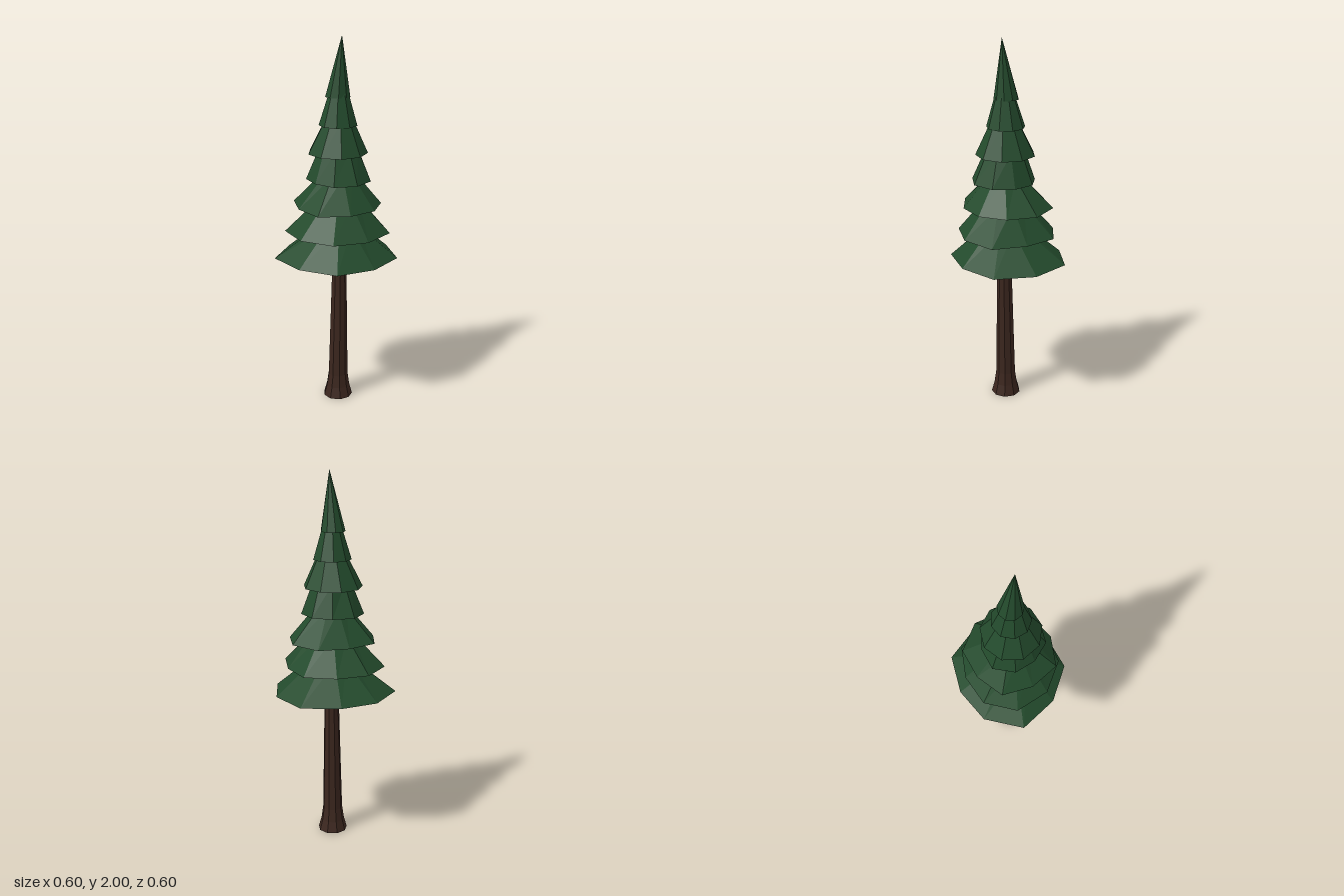
import * as THREE from 'three';

const SIDES = 9;

// Low-poly skin through rings of points, from the bottom ring upwards
function loft(rings, material, name) {
  const pos = [];
  const tri = (a, b, c) => pos.push(...a, ...b, ...c);
  for (let r = 0; r < rings.length - 1; r++) {
    const lo = rings[r], hi = rings[r + 1];
    for (let i = 0; i < lo.length; i++) {
      const j = (i + 1) % lo.length;
      tri(lo[i], hi[i], lo[j]);
      if (hi[i] !== hi[j]) tri(hi[i], hi[j], lo[j]);
    }
  }
  const geometry = new THREE.BufferGeometry();
  geometry.setAttribute('position', new THREE.Float32BufferAttribute(pos, 3));
  geometry.computeVertexNormals();
  const mesh = new THREE.Mesh(geometry, material);
  mesh.name = name;
  return mesh;
}

// Ring of points; radius is one number or one per corner, turn is in degrees
function ring(x, y, z, radius, turn = 0) {
  return Array.from({ length: SIDES }, (_, i) => {
    const a = THREE.MathUtils.degToRad(turn + (i * 360) / SIDES);
    const r = Array.isArray(radius) ? radius[i] : radius;
    return [x + r * Math.cos(a), y, z + r * Math.sin(a)];
  });
}

export function createModel() {
  const tree = new THREE.Group();
  tree.name = 'pineTree';
  const bark = new THREE.MeshStandardMaterial({ color: 0x3b261e, flatShading: true });
  const needles = new THREE.MeshStandardMaterial({
    color: 0x234a2c, flatShading: true, side: THREE.DoubleSide,
  });

  // Trunk with a flared foot, running up inside the branches
  const trunkRings = [
    ring(0.016, 0, 0.011, 0.08),
    ring(0.016, 0.06, 0.011, 0.064),
    ring(0.017, 0.13, 0.011, 0.054),
    ring(0.026, 0.83, 0.011, 0.038),
    ring(0.03, 1.3, 0.011, 0.022),
  ];
  const cap = (x, y, z) => Array(SIDES).fill([x, y, z]);
  tree.add(loft([cap(0.016, 0, 0.011), ...trunkRings, cap(0.03, 1.3, 0.011)], bark, 'trunk'));

  // Open skirts of branches: rim centre, rim radii, turn, then top height and radius
  const tiers = [
    { x: 0, y: 0.83, z: 0, turn: 9,
      rim: [0.302, 0.317, 0.303, 0.337, 0.304, 0.285, 0.321, 0.315, 0.327], top: 1.01, r: 0.1 },
    { x: 0, y: 0.975, z: 0, turn: 13,
      rim: [0.274, 0.275, 0.27, 0.277, 0.262, 0.24, 0.262, 0.245, 0.287], top: 1.15, r: 0.11 },
    { x: 0.018, y: 1.12, z: 0.006, turn: -6,
      rim: [0.223, 0.226, 0.253, 0.229, 0.248, 0.225, 0.25, 0.243, 0.225], top: 1.29, r: 0.085 },
    { x: 0.02, y: 1.26, z: 0.01, turn: 17,
      rim: [0.18, 0.177, 0.16, 0.17, 0.177, 0.157, 0.165, 0.165, 0.175], top: 1.43, r: 0.1 },
    { x: 0.015, y: 1.4, z: 0.012, turn: 2, rim: 0.157, top: 1.57, r: 0.075 },
    { x: 0.017, y: 1.545, z: 0.009, turn: 14, rim: 0.101, top: 1.72, r: 0.048 },
  ];
  tiers.forEach((t, i) => tree.add(loft([
    ring(t.x, t.y, t.z, t.rim, t.turn),
    ring(0.022, t.top, 0.01, t.r, t.turn),
  ], needles, `branchTier${i + 1}`)));

  // Pointed crown, leaning slightly to one side
  tree.add(loft([
    ring(0.012, 1.69, 0.009, 0.065, 5),
    cap(0.042, 2, 0.01),
  ], needles, 'crown'));

  return tree;
}
